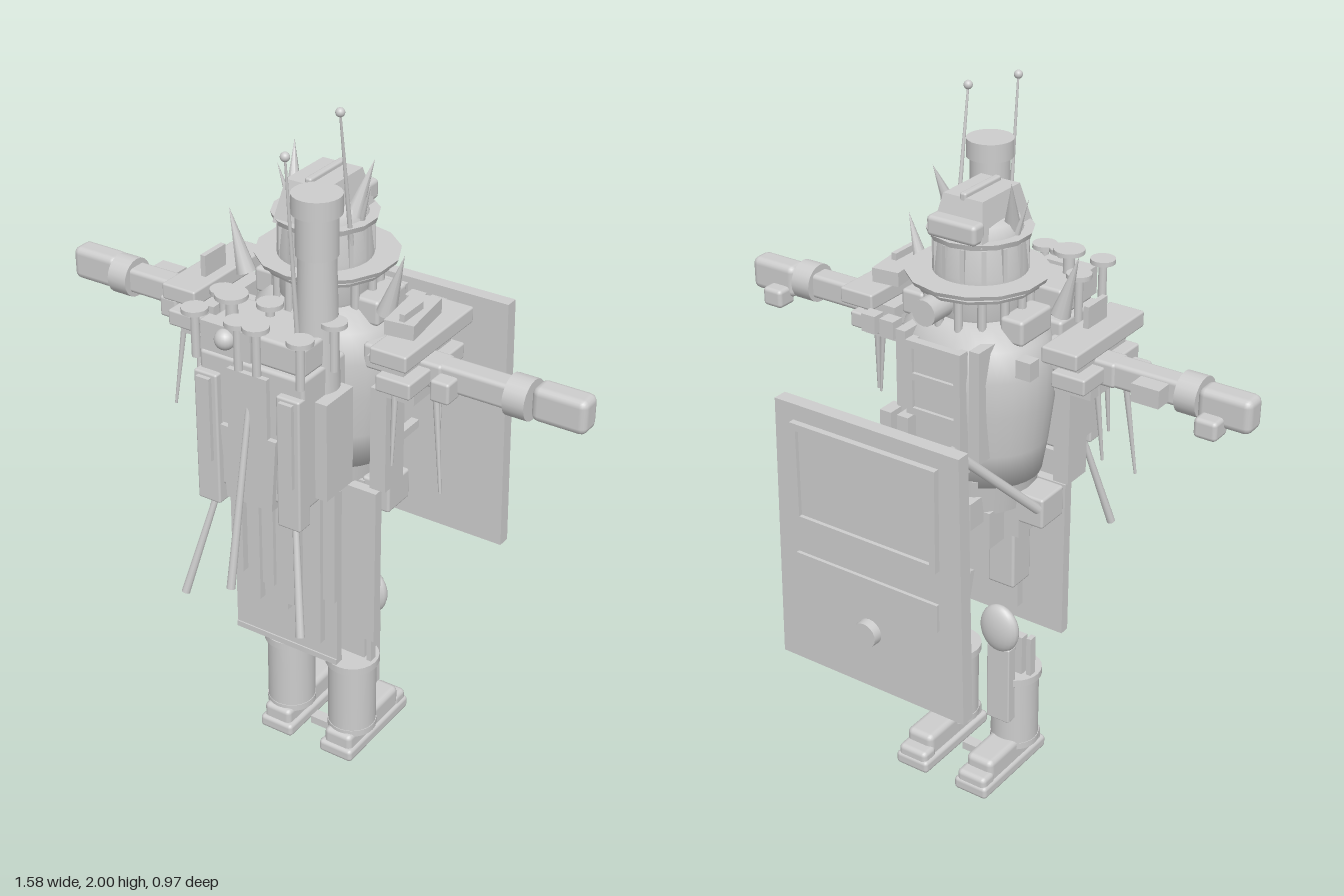
import * as THREE from 'three';
import { RoundedBoxGeometry } from 'three/addons/geometries/RoundedBoxGeometry.js';

const grey = new THREE.MeshStandardMaterial({ color: 0xcccccc, side: THREE.DoubleSide });
grey.name = 'plain grey';

export function createModel() {
  const root = new THREE.Group();
  root.name = 'armouredWalker';
  let parent = root;
  const part = (name) => {
    parent = new THREE.Group();
    parent.name = name;
    root.add(parent);
  };
  const add = (name, geo, x = 0, y = 0, z = 0, rx = 0, ry = 0, rz = 0) => {
    const m = new THREE.Mesh(geo, grey);
    m.name = name;
    m.position.set(x, y, z);
    m.rotation.set(rx, ry, rz);
    parent.add(m);
    return m;
  };
  // box given by its extents
  const box = (name, x0, x1, y0, y1, z0, z1, round = 0) => {
    const s = [Math.abs(x1 - x0), y1 - y0, z1 - z0];
    const geo = round ? new RoundedBoxGeometry(...s, 2, round) : new THREE.BoxGeometry(...s);
    return add(name, geo, (x0 + x1) / 2, (y0 + y1) / 2, (z0 + z1) / 2);
  };
  const cyl = (name, x, y0, y1, z, rb, rt = rb, n = 24) =>
    add(name, new THREE.CylinderGeometry(rt, rb, y1 - y0, n), x, (y0 + y1) / 2, z);
  // tapered rod between two points
  const rod = (name, a, b, ra, rb = ra, n = 10) => {
    const p = new THREE.Vector3(...a), q = new THREE.Vector3(...b), d = q.clone().sub(p);
    const m = add(name, new THREE.CylinderGeometry(rb, ra, d.length(), n), ...p.clone().add(q).multiplyScalar(0.5));
    m.quaternion.setFromUnitVectors(new THREE.Vector3(0, 1, 0), d.normalize());
    return m;
  };
  const ball = (name, x, y, z, rx, ry = rx, rz = rx) =>
    add(name, new THREE.SphereGeometry(1, 20, 14), x, y, z).scale.set(rx, ry, rz);
  const lathe = (name, pts, x, z) =>
    add(name, new THREE.LatheGeometry(pts.map((p) => new THREE.Vector2(...p)), 32), x, 0, z);
  // flat outline extruded along z
  const plate = (name, pts, z, depth, holes = []) => {
    const shape = new THREE.Shape(pts.map((p) => new THREE.Vector2(...p)));
    for (const h of holes) shape.holes.push(new THREE.Path(h.map((p) => new THREE.Vector2(...p))));
    return add(name, new THREE.ExtrudeGeometry(shape, { depth, bevelEnabled: false }), 0, 0, z);
  };

  // Barrel torso (wider than deep) and belt
  part('torso');
  lathe('barrel', [[0, 1.0], [0.17, 1.0], [0.186, 1.1], [0.2, 1.22], [0.203, 1.32], [0.185, 1.4], [0.14, 1.45], [0, 1.46]], 0, 0.015)
    .scale.set(1.08, 1, 0.92);
  cyl('belt', 0, 0.91, 1.02, 0.02, 0.155, 0.172);
  box('chestPlate', -0.08, 0.08, 1.05, 1.4, -0.175, -0.1);
  for (const s of [-1, 1]) {
    box('chestFrame', s * 0.065, s * 0.085, 1.05, 1.41, -0.185, -0.15);
    box('chestStrap', s * 0.1, s * 0.13, 1.1, 1.42, -0.165, -0.08);
    box('pouch', s * 0.15, s * 0.235, 0.87, 0.96, -0.02, 0.085, 0.008);
    box('beltBuckle', s * 0.03, s * 0.1, 0.89, 0.97, -0.16, -0.1);
    box('sidePlate', s * 0.215, s * 0.262, 0.98, 1.28, 0.06, 0.15);
  }
  for (const y of [1.1, 1.2, 1.3, 1.39]) box('chestRib', -0.07, 0.07, y, y + 0.02, -0.185, -0.16);
  for (const x of [0.08, 0.135]) box('chestClip', x - 0.018, x + 0.018, 1.1, 1.2, -0.21, -0.15);
  for (const x of [0.18, 0.24, -0.245]) box('sideClip', x - 0.022, x + 0.022, 1.37, 1.42, -0.14, -0.1);
  rod('baton', [-0.22, 0.93, -0.02], [-0.11, 1.18, -0.26], 0.014);
  box('beltCase', -0.055, 0.055, 0.99, 1.04, -0.2, -0.1, 0.008);

  // Head with brims, face pipes, horns
  part('head');
  lathe('helmet', [[0.1, 1.42], [0.125, 1.46], [0.125, 1.55], [0.125, 1.57], [0.115, 1.66], [0.1, 1.7], [0, 1.72]], 0, 0.03);
  cyl('wideBrim', 0, 1.545, 1.557, 0.02, 0.185, 0.19, 14);
  cyl('underBrim', 0, 1.525, 1.535, 0.02, 0.165, 0.17, 14);
  cyl('upperBrim', 0, 1.655, 1.67, 0.03, 0.135, 0.14, 14);
  // crown narrows towards the top
  const crown = new THREE.BoxGeometry(0.16, 0.11, 0.23);
  const cp = crown.attributes.position;
  for (let i = 0; i < cp.count; i++)
    if (cp.getY(i) > 0) cp.setXYZ(i, cp.getX(i) * 0.75, cp.getY(i), cp.getZ(i) * 0.72);
  crown.computeVertexNormals();
  add('crown', crown, 0, 1.715, 0.035);
  box('visor', -0.075, 0.075, 1.67, 1.725, -0.105, -0.055, 0.012);
  box('crest', -0.01, 0.01, 1.72, 1.782, -0.05, 0.11, 0.006);
  for (let i = 0; i < 14; i++) {
    const a = (i / 14) * Math.PI * 2, c = Math.cos(a), s = Math.sin(a);
    cyl('facePipe', c * 0.135, 1.43, 1.535, 0.02 + s * 0.135, 0.012, 0.012, 8);
    add('helmetRib', new THREE.BoxGeometry(0.012, 0.09, 0.012), c * 0.12, 1.605, 0.03 + s * 0.12, 0, Math.PI / 2 - a);
  }
  rod('snout', [0.03, 1.495, -0.1], [0.03, 1.495, -0.18], 0.036, 0.036, 16);
  for (const s of [-1, 1]) {
    rod('horn', [s * 0.09, 1.68, 0.04], [s * 0.12, 1.82, -0.01], 0.024, 0, 8);
    rod('brimSpike', [s * 0.1, 1.64, 0.03], [s * 0.14, 1.77, 0.04], 0.012, 0, 8);
    box('cheek', s * 0.12, s * 0.19, 1.41, 1.48, -0.06, 0.08, 0.01);
  }

  // Antennas and chimney
  part('stackAndAntennas');
  cyl('chimney', 0.115, 1.28, 1.67, 0.24, 0.058, 0.048);
  cyl('chimneySleeve', 0.115, 1.66, 1.78, 0.24, 0.054);
  cyl('chimneyCap', 0.115, 1.77, 1.82, 0.24, 0.064);
  rod('antenna', [0.11, 1.62, 0.08], [0.115, 1.985, 0.14], 0.007, 0.003);
  rod('antenna', [0.115, 1.45, 0.325], [0.115, 1.955, 0.37], 0.007, 0.003);
  ball('antennaTip', 0.115, 1.988, 0.14, 0.012);
  ball('antennaTip', 0.115, 1.955, 0.37, 0.012);

  // Pack on the +z side with discs and hanging rods
  part('pack');
  box('packBody', -0.155, 0.16, 1.0, 1.38, 0.18, 0.37, 0.01);
  box('packLid', -0.14, 0.155, 1.38, 1.46, 0.2, 0.36, 0.01);
  box('lampBox', -0.14, 0.01, 1.39, 1.47, 0.34, 0.38);
  ball('lamp', -0.065, 1.437, 0.38, 0.028);
  box('packPanel', -0.06, 0.06, 1.19, 1.36, 0.36, 0.385);
  plate('packSkirt', [[-0.07, 0.98], [0.07, 0.98], [0.085, 1.19], [-0.085, 1.19]], 0.35, 0.035);
  for (const s of [-1, 1]) {
    box('pocket', s * 0.09, s * 0.16, 0.95, 1.33, 0.34, 0.39, 0.006);
    box('pocketFlap', s * 0.105, s * 0.145, 1.08, 1.32, 0.385, 0.402);
    box('packSide', s * 0.15, s * 0.195, 1.02, 1.3, 0.2, 0.32);
    rod('hangingRod', [s * 0.11, 1.02, 0.34], [s * 0.185, 0.66, 0.43], 0.008, 0.012);
  }
  rod('hangingRod', [0, 1.3, 0.37], [0, 0.77, 0.475], 0.008, 0.012);
  for (const [x, z] of [[-0.16, 0.255], [-0.16, 0.375], [-0.03, 0.375], [0.025, 0.375], [0.155, 0.375], [0.17, 0.25], [-0.02, 0.25]]) {
    cyl('discStem', x, 1.36, 1.49, z, 0.012, 0.012, 10);
    cyl('disc', x, 1.485, 1.498, z, 0.035, 0.035, 14);
  }
  cyl('tallDiscStem', -0.09, 1.42, 1.52, 0.315, 0.016);
  cyl('tallDisc', -0.09, 1.518, 1.53, 0.315, 0.043);

  // Cape plates and hanging strips
  part('cape');
  box('capePlate', -0.23, 0.222, 0.47, 0.95, 0.1, 0.13);
  box('outerCape', -0.17, 0.162, 0.44, 0.98, 0.2, 0.222);
  box('capeHem', -0.17, 0.162, 0.428, 0.445, 0.197, 0.226);
  for (const [x, y] of [[-0.12, 0.67], [-0.065, 0.6], [-0.02, 0.66], [0.025, 0.6], [0.06, 0.62], [0.13, 0.53], [0.175, 0.68]])
    box('strip', x - 0.018, x + 0.018, y, 1.02, 0.259, 0.281);

  // Arms, shoulder plates and spikes
  part('arms');
  for (const s of [-1, 1]) {
    const sb = (n, a, b, ...r) => box(n, s * a, s * b, ...r);
    sb('upperArm', 0.17, 0.4, 1.31, 1.38, 0.045, 0.12, 0.01);
    sb('forearm', 0.38, 0.6, 1.31, 1.38, 0.05, 0.115, 0.012);
    rod('wristRing', [s * 0.58, 1.345, 0.083], [s * 0.64, 1.345, 0.083], 0.055, 0.055, 20);
    sb('hand', 0.64, 0.79, 1.295, 1.39, 0.035, 0.105, 0.02);
    sb('thumb', 0.655, 0.72, 1.275, 1.33, -0.005, 0.06, 0.012);
    sb('elbowBox', 0.39, 0.445, 1.3, 1.36, 0.1, 0.16, 0.008);
    sb('topPlate', 0.265, 0.37, 1.405, 1.45, -0.09, 0.24, 0.006);
    sb('middlePlate', 0.235, 0.34, 1.37, 1.4, -0.03, 0.2);
    sb('lowerPlate', 0.27, 0.37, 1.32, 1.365, -0.05, 0.22, 0.006);
    sb('bottomPlate', 0.25, 0.36, 1.285, 1.315, 0.0, 0.18);
    sb('ridge', 0.295, 0.31, 1.45, 1.51, 0.06, 0.15);
    rod('shoulderSpike', [s * 0.215, 1.46, 0.08], [s * 0.265, 1.63, 0.08], 0.027, 0, 10);
    for (const [x0, x1, y, z] of [[0.385, 0.42, 1.03, 0.12], [0.35, 0.365, 1.09, 0.04], [0.3, 0.305, 1.1, 0.17]])
      rod('hangingSpike', [s * x0, 1.34, z], [s * x1, y, z + 0.02], 0.01, 0.004, 8);
  }
  box('shoulderCover', 0.25, 0.33, 1.45, 1.49, -0.01, 0.16).rotation.y = 0.12;
  box('forearmGauge', -0.555, -0.475, 1.32, 1.37, 0, 0.06);

  // Legs and boots
  part('legs');
  for (const s of [-1, 1]) {
    const sb = (n, a, b, ...r) => box(n, s * a, s * b, ...r);
    sb('hip', 0.05, 0.16, 0.82, 0.95, -0.02, 0.09);
    sb('thigh', 0.06, 0.145, 0.65, 0.85, -0.02, 0.065, 0.008);
    sb('thighPlate', 0.05, 0.12, 0.81, 0.92, -0.1, -0.03);
    sb('strap', 0.09, 0.12, 0.55, 0.66, 0.04, 0.065);
    ball('knee', s * 0.105, 0.51, -0.025, 0.062, 0.075, 0.03);
    sb('shinPlate', 0.068, 0.143, 0.2, 0.45, -0.035, 0, 0.004);
    sb('upperShin', 0.062, 0.145, 0.3, 0.46, 0.028, 0.055);
    cyl('boot', s * 0.105, 0.1, 0.335, 0.055, 0.069);
    cyl('bootCuff', s * 0.105, 0.315, 0.337, 0.055, 0.077);
    cyl('ankleRing', s * 0.105, 0.09, 0.11, 0.055, 0.071);
    sb('sole', 0.048, 0.158, 0.018, 0.058, -0.172, 0.145, 0.012);
    sb('heel', 0.06, 0.15, 0.03, 0.1, 0.0, 0.135, 0.015);
    sb('toe', 0.06, 0.15, 0.04, 0.12, -0.13, 0.03, 0.018);
    sb('toeCap', 0.055, 0.152, 0.04, 0.085, -0.168, -0.11, 0.015);
    sb('legRod', 0.155, 0.17, 0.23, 0.46, 0.035, 0.06);
  }
  add('centreTasset', new THREE.BoxGeometry(0.05, 0.1, 0.02), 0, 0.63, -0.055, 0.25);
  box('footLink', -0.048, 0.045, 0.005, 0.03, 0.005, 0.04);

  // Shield on the -z side, slightly wider at the foot
  part('shield');
  const rect = (a, b, c, d) => [[a, c], [b, c], [b, d], [a, d]];
  plate('shieldPlate', [[-0.284, 0.517], [0.313, 0.517], [0.298, 1.295], [-0.272, 1.295]], -0.455, 0.04);
  plate('windowFrame', rect(-0.212, 0.24, 0.96, 1.25), -0.473, 0.02, [rect(-0.193, 0.221, 0.98, 1.23)]);
  box('windowPane', -0.195, 0.223, 0.978, 1.232, -0.462, -0.452);
  box('slot', -0.21, 0.243, 0.78, 0.86, -0.465, -0.452);
  rod('knob', [0.015, 0.692, -0.45], [0.015, 0.692, -0.48], 0.038, 0.036, 20);
  box('handle', 0.002, 0.027, 0.822, 0.848, -0.42, -0.255);

  return root;
}
